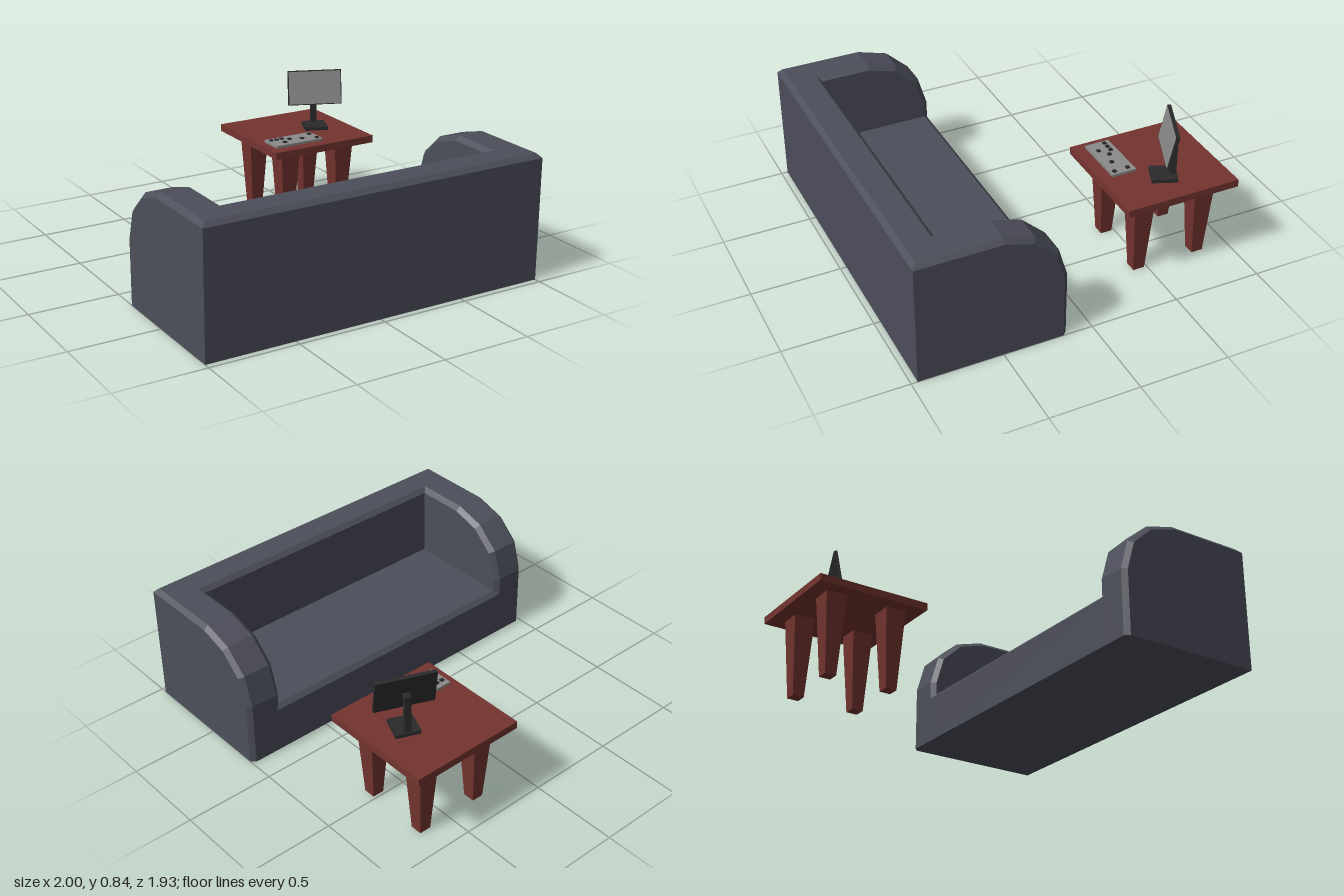
import * as THREE from 'three';
import { ConvexGeometry } from 'three/addons/geometries/ConvexGeometry.js';

const mat = (color) => new THREE.MeshStandardMaterial({ color, flatShading: true });
const fabric = mat(0x4c4e5a), wood = mat(0x74342f), black = mat(0x2a2a2a), grey = mat(0x8a8a8a);

function add(parent, name, geometry, material, x = 0, y = 0, z = 0) {
  const mesh = new THREE.Mesh(geometry, material);
  mesh.name = name;
  mesh.position.set(x, y, z);
  parent.add(mesh);
  return mesh;
}
const box = (w, h, d) => new THREE.BoxGeometry(w, h, d);

// Convex solid spanning [z, y] outlines placed at given x positions
function hull(sections) {
  const points = [];
  for (const [x, outline] of sections)
    for (const [z, y] of outline) points.push(new THREE.Vector3(x, y, z));
  return new ConvexGeometry(points);
}

function createSofa() {
  const sofa = new THREE.Group();
  sofa.name = 'sofa';
  // Arm outline at full size, and inset by the bevel on its side faces
  const full = [[0.14, 0], [0.14, 0.37], [0.19, 0.54], [0.32, 0.66], [0.49, 0.71],
    [0.94, 0.71], [0.965, 0.685], [0.965, 0]];
  const inset = [[0.165, 0], [0.165, 0.365], [0.212, 0.526], [0.333, 0.637], [0.493, 0.685],
    [0.965, 0.685], [0.965, 0]];
  for (const [s, name] of [[1, 'leftArm'], [-1, 'rightArm']])
    add(sofa, name, hull([[s, inset], [s * 0.975, full], [s * 0.82, full], [s * 0.793, inset]]), fabric);
  // Backrest and seat run between the arms, with bevelled top edges
  const back = [[0.77, 0], [0.77, 0.685], [0.795, 0.71], [0.94, 0.71], [0.965, 0.685], [0.965, 0]];
  const seat = [[0.14, 0], [0.14, 0.265], [0.165, 0.29], [0.78, 0.29], [0.78, 0]];
  add(sofa, 'backrest', hull([[-0.82, back], [0.82, back]]), fabric);
  add(sofa, 'seat', hull([[-0.82, seat], [0.82, seat]]), fabric);
  return sofa;
}

function createTable() {
  const table = new THREE.Group();
  table.name = 'table';
  table.position.set(0.473, 0, -0.633);
  add(table, 'tableTop', box(0.657, 0.042, 0.657), wood, 0, 0.479, 0);
  // Four square legs tapering to the floor
  const leg = new THREE.CylinderGeometry(0.061 * Math.SQRT2, 0.033 * Math.SQRT2, 0.46, 4);
  leg.rotateY(Math.PI / 4);
  for (const sx of [-1, 1])
    for (const sz of [-1, 1]) add(table, 'tableLeg', leg, wood, sx * 0.182, 0.23, sz * 0.182);
  return table;
}

function createMonitor() {
  const monitor = new THREE.Group();
  monitor.name = 'monitor';
  monitor.position.set(0.604, 0.5, -0.637);
  monitor.rotation.y = -0.39;
  add(monitor, 'monitorBase', box(0.135, 0.02, 0.14), black, 0, 0.01, 0.015);
  add(monitor, 'monitorPost', box(0.035, 0.23, 0.028), black, 0, 0.125, -0.035);
  add(monitor, 'monitorBracket', box(0.035, 0.035, 0.04), black, 0, 0.222, -0.02);
  // Screen leaning back on its post
  const screen = new THREE.Group();
  screen.name = 'screen';
  screen.position.y = 0.242;
  screen.rotation.x = -0.19;
  add(screen, 'screenCase', box(0.32, 0.204, 0.02), black);
  add(screen, 'screenPanel', box(0.31, 0.194, 0.002), grey, 0, 0, 0.01);
  monitor.add(screen);
  return monitor;
}

function createKeyboard() {
  const keyboard = new THREE.Group();
  keyboard.name = 'keyboard';
  add(keyboard, 'keyboardBody', box(0.31, 0.014, 0.142), grey, 0.342, 0.507, -0.445);
  // Scattered keys
  const keys = [[0.211, -0.479], [0.246, -0.479], [0.281, -0.479], [0.468, -0.479],
    [0.318, -0.452], [0.388, -0.428], [0.265, -0.414], [0.471, -0.398]];
  for (const [x, z] of keys) add(keyboard, 'key', box(0.02, 0.012, 0.02), black, x, 0.515, z);
  return keyboard;
}

export function createModel() {
  const model = new THREE.Group();
  model.name = 'sofaAndComputerTable';
  model.add(createSofa(), createTable(), createMonitor(), createKeyboard());
  return model;
}
